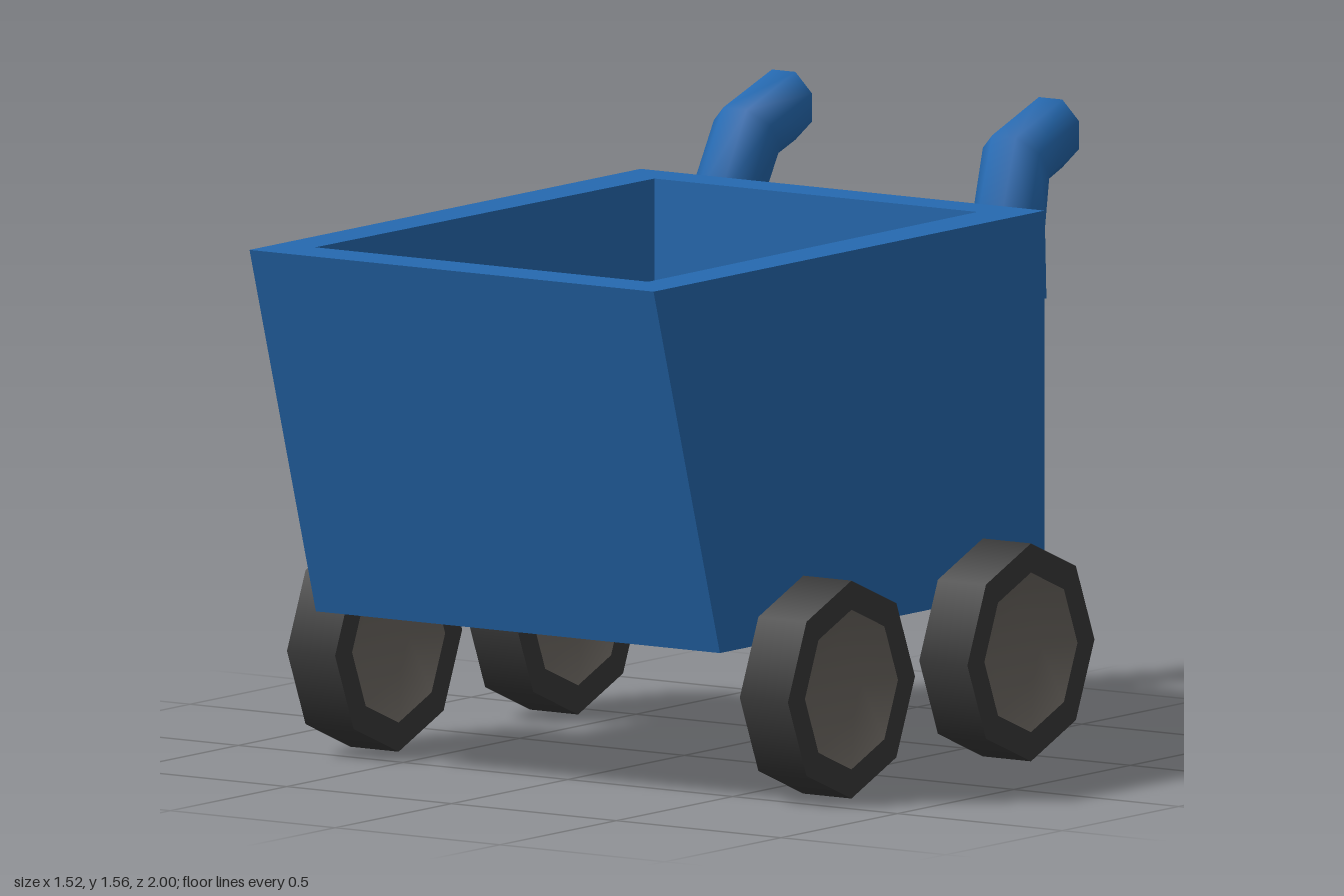
import * as THREE from 'three';

const blue = new THREE.MeshStandardMaterial({ color: 0x2569b0 });
blue.name = 'paintedBlue';
const rubber = new THREE.MeshStandardMaterial({ color: 0x393939 });
rubber.name = 'darkRubber';
const metal = new THREE.MeshStandardMaterial({ color: 0x6c6761, side: THREE.DoubleSide });
metal.name = 'hubGrey';

function mesh(name, geometry, material) {
  const m = new THREE.Mesh(geometry, material);
  m.name = name;
  return m;
}

// Four corners of a level rectangle, counter-clockwise seen from above
function level(y, xBack, xFront, zBack, zFront) {
  return [[-xFront, y, zFront], [xFront, y, zFront], [xBack, y, zBack], [-xBack, y, zBack]];
}

// Open tub: outer walls, rim, inner walls and the two floors, all flat faced
function tubGeometry() {
  const rings = [
    level(0.395, 0.613, 0.613, -0.68, 0.715), // outer bottom
    level(1.335, 0.613, 0.613, -0.68, 1.0),   // outer top
    level(1.335, 0.49, 0.505, -0.565, 0.87),  // inner top
    level(0.545, 0.49, 0.5, -0.565, 0.63),    // inner floor
  ];
  const pos = [];
  const quad = (a, b, c, d) => [a, b, c, a, c, d].forEach((p) => pos.push(...p));
  for (let r = 0; r < 3; r++) {
    for (let i = 0; i < 4; i++) {
      const j = (i + 1) % 4;
      quad(rings[r][i], rings[r][j], rings[r + 1][j], rings[r + 1][i]);
    }
  }
  quad(...rings[3]);
  quad(...[...rings[0]].reverse());
  const g = new THREE.BufferGeometry();
  g.setAttribute('position', new THREE.Float32BufferAttribute(pos, 3));
  g.computeVertexNormals();
  return g;
}

// Bent eight-sided push handle; each section is [x, y, z, halfY, halfZ]
function handleGeometry(side) {
  const sections = [
    [0.432, 1.09, -0.785, 0, 0.09],
    [0.427, 1.267, -0.786, 0, 0.09],
    [0.408, 1.422, -0.848, 0.0675, 0.0525],
    [0.405, 1.475, -1.0, 0.085, 0],
  ];
  const n = 8, pos = [], idx = [];
  const ring = ([x, y, z, hy, hz]) => {
    for (let i = 0; i < n; i++) {
      const a = ((i + 0.5) / n) * Math.PI * 2;
      const c = Math.cos(a) * 0.093, s = Math.sin(a) / Math.cos(Math.PI / n);
      pos.push(side * (x + c), y + s * hy, z + s * hz);
    }
  };
  const tri = (a, b, c) => (side > 0 ? idx.push(a, c, b) : idx.push(a, b, c));
  sections.forEach(ring);
  for (let r = 0; r < sections.length - 1; r++) {
    for (let i = 0; i < n; i++) {
      const a = r * n + i, b = r * n + ((i + 1) % n);
      tri(a, b, b + n);
      tri(a, b + n, a + n);
    }
  }
  // The grip end blends into the sides; the lower end has a sharp edge
  const end = (sections.length - 1) * n, foot = end + n;
  ring(sections[0]);
  for (let i = 1; i < n - 1; i++) {
    tri(end, end + i, end + i + 1);
    tri(foot, foot + i + 1, foot + i);
  }
  const g = new THREE.BufferGeometry();
  g.setAttribute('position', new THREE.Float32BufferAttribute(pos, 3));
  g.setIndex(idx);
  g.computeVertexNormals();
  return g;
}

// Octagonal wheel with a dished hub on both faces, axle along x
function wheel(name) {
  const R = 0.273, r = 0.2, half = 0.073;
  const g = new THREE.Group();
  g.name = name;
  const tread = mesh('tread', new THREE.CylinderGeometry(R, R, half * 2, 8, 1, true), rubber);
  tread.rotation.z = Math.PI / 2;
  g.add(tread);
  for (const s of [1, -1]) {
    const wall = mesh('tyreWall', new THREE.RingGeometry(r, R, 8), rubber);
    wall.rotation.y = (s * Math.PI) / 2;
    wall.position.x = s * half;
    const profile = [[0, 0.025], [0.11, 0.025], [r, half]].map(([x, y]) => new THREE.Vector2(x, y));
    const hub = mesh('hubDish', new THREE.LatheGeometry(profile, 8), metal);
    hub.rotation.z = (-s * Math.PI) / 2;
    g.add(wall, hub);
  }
  return g;
}

export function createModel() {
  const cart = new THREE.Group();
  cart.name = 'pushCart';
  cart.add(mesh('tub', tubGeometry(), blue));
  for (const side of [1, -1]) {
    const label = side > 0 ? 'left' : 'right';
    cart.add(mesh(label + 'Handle', handleGeometry(side), blue));
    for (const [place, z] of [['Front', 0.358], ['Rear', -0.413]]) {
      const w = wheel(label + place + 'Wheel');
      w.position.set(side * 0.687, 0.273, z);
      cart.add(w);
    }
  }
  return cart;
}
